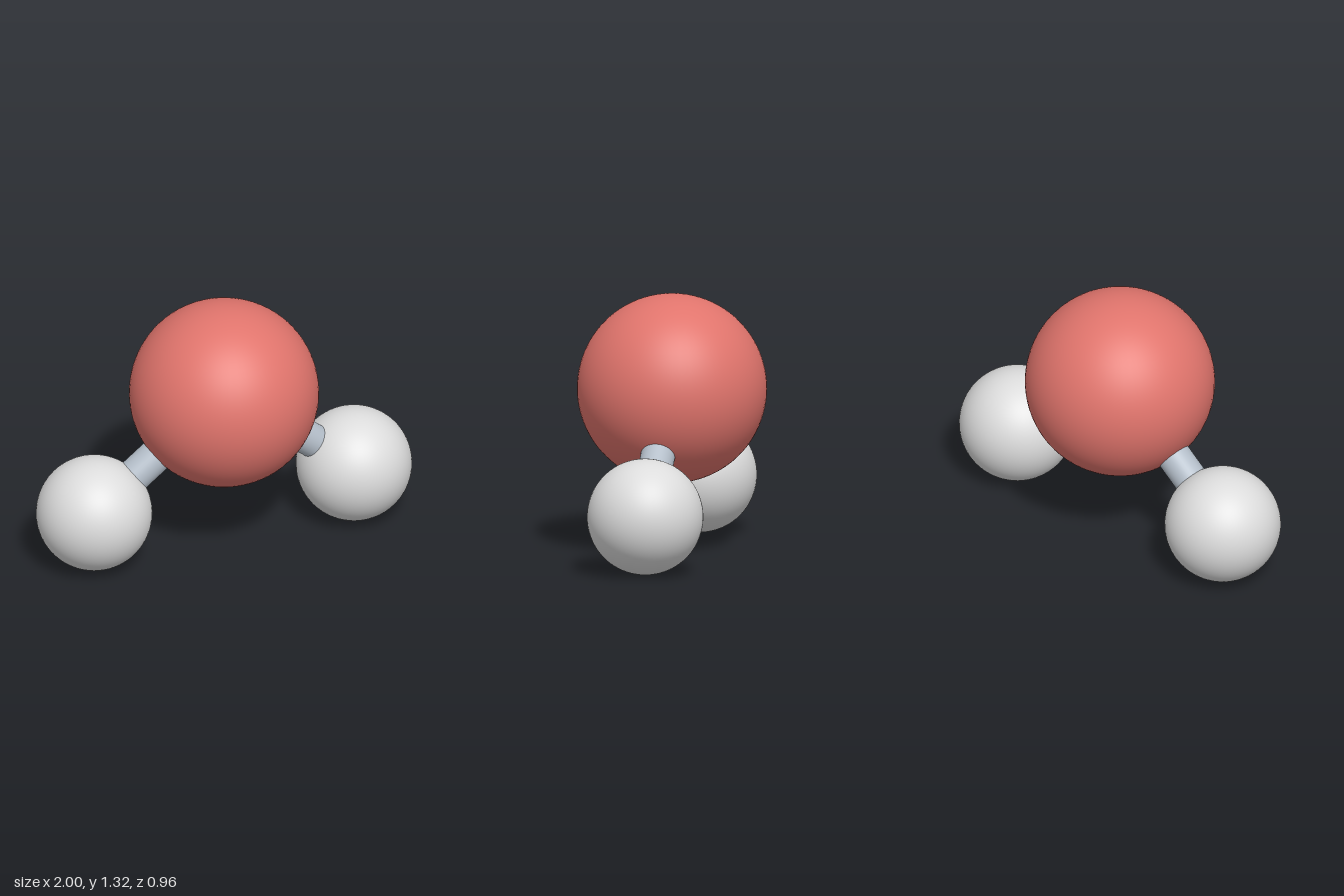
import * as THREE from 'three';

export function createModel() {
  const model = new THREE.Group();
  model.name = 'moleculeModel';

  const red = new THREE.MeshStandardMaterial({ name: 'red', color: 0xe0746c });
  const paleGrey = new THREE.MeshStandardMaterial({ name: 'paleGrey', color: 0xdcdcdc });
  const blueGrey = new THREE.MeshStandardMaterial({ name: 'blueGrey', color: 0xb4bec9 });

  const add = (name, geometry, material, position) => {
    const mesh = new THREE.Mesh(geometry, material);
    mesh.name = name;
    mesh.position.copy(position);
    model.add(mesh);
    return mesh;
  };

  // Large central ball
  const centre = new THREE.Vector3(0, 0.843, 0);
  add('centralAtom', new THREE.SphereGeometry(0.48, 64, 48), red, centre);

  // Mirrored outer balls, each joined to the centre by a rod
  for (const [side, sign] of [['left', 1], ['right', -1]]) {
    const end = new THREE.Vector3(sign * 0.706, 0.294, 0);
    add(side + 'OuterAtom', new THREE.SphereGeometry(0.294, 64, 48), paleGrey, end);

    const span = end.clone().sub(centre);
    const middle = centre.clone().add(end).multiplyScalar(0.5);
    const rod = new THREE.CylinderGeometry(0.087, 0.087, span.length(), 40);
    add(side + 'Bond', rod, blueGrey, middle)
      .quaternion.setFromUnitVectors(new THREE.Vector3(0, 1, 0), span.normalize());
  }

  return model;
}
